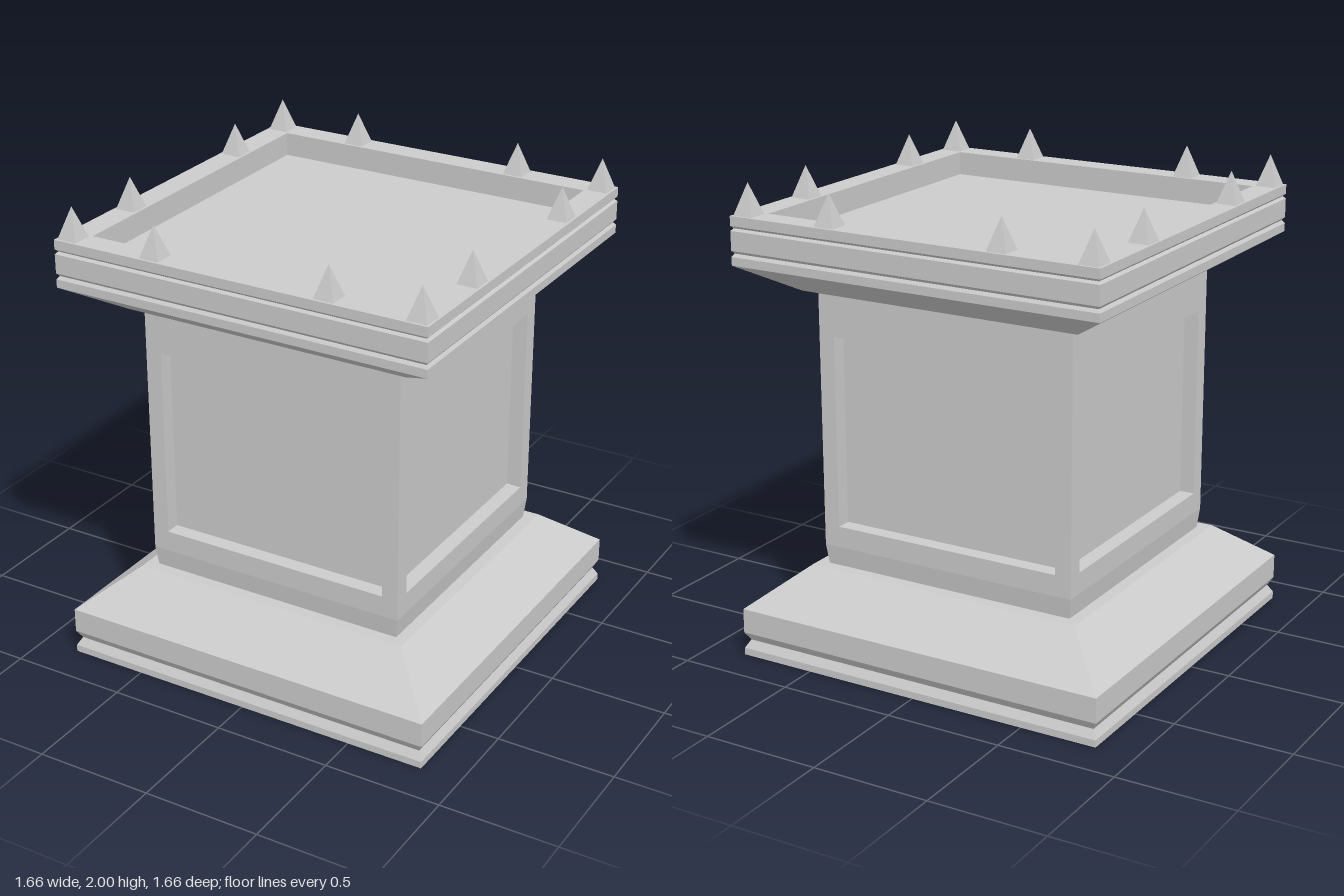
import * as THREE from 'three';

const material = new THREE.MeshStandardMaterial({ color: 0xcccccc, flatShading: true });

function addMesh(parent, name, geometry) {
  const flat = geometry.index ? geometry.toNonIndexed() : geometry;
  flat.computeVertexNormals();
  const mesh = new THREE.Mesh(flat, material);
  mesh.name = name;
  parent.add(mesh);
  return mesh;
}

// Square moulding: sweeps a [half width, height] profile around four sides
function squareLathe(profile) {
  const points = profile.map(([w, y]) => new THREE.Vector2(w * Math.SQRT2, y));
  return new THREE.LatheGeometry(points, 4, Math.PI / 4);
}

// Rectangular slab with a window, its outer face at z = depth
function panelFrame(halfWidth, bottom, top, depth) {
  const rect = (Path, w, y0, y1) => new Path([
    new THREE.Vector2(-w, y0), new THREE.Vector2(w, y0),
    new THREE.Vector2(w, y1), new THREE.Vector2(-w, y1),
  ]);
  const shape = rect(THREE.Shape, halfWidth, bottom, top);
  shape.holes.push(rect(THREE.Path, 0.51, 0.55, 1.365));
  return new THREE.ExtrudeGeometry(shape, { depth, bevelEnabled: false });
}

export function createModel() {
  const model = new THREE.Group();
  model.name = 'pedestal';

  // Stepped plinth with a groove and sloping top
  addMesh(model, 'base', squareLathe([
    [0, 0], [0.83, 0], [0.83, 0.03], [0.81, 0.065], [0.83, 0.1],
    [0.83, 0.205], [0.62, 0.375], [0, 0.375],
  ]));

  // Shaft: tapered foot, core and four recessed panels
  const shaft = new THREE.Group();
  shaft.name = 'shaft';
  model.add(shaft);
  const half = 0.58, depth = 0.065, inner = half - depth;
  addMesh(shaft, 'shaftFoot', squareLathe([[0.57, 0.375], [half, 0.46]]));
  addMesh(shaft, 'shaftCore', new THREE.BoxGeometry(inner * 2, 1.09, inner * 2)).position.y = 1.005;
  for (let i = 0; i < 4; i++) {
    const angle = i * Math.PI / 2;
    const frame = addMesh(shaft, 'panelFrame', panelFrame(i % 2 ? inner : half, 0.46, 1.55, depth));
    frame.rotation.y = angle;
    frame.position.set(Math.sin(angle) * inner, 0, Math.cos(angle) * inner);
  }

  // Flared cap with two grooves and a sunken top
  addMesh(model, 'cap', squareLathe([
    [0, 1.55], [0.625, 1.55], [0.82, 1.67], [0.82, 1.705], [0.81, 1.718], [0.82, 1.73],
    [0.82, 1.81], [0.81, 1.82], [0.82, 1.83], [0.82, 1.87],
    [0.713, 1.87], [0.713, 1.77], [0, 1.77],
  ]));

  // Pyramid spikes around the rim
  const spikes = new THREE.Group();
  spikes.name = 'spikes';
  model.add(spikes);
  const stops = [-0.767, -0.383, 0.383, 0.767];
  for (const x of stops) {
    for (const z of stops) {
      if (Math.max(Math.abs(x), Math.abs(z)) < 0.7) continue;
      const spike = addMesh(spikes, 'spike', squareLathe([[0.043, 0], [0, 0.13]]));
      spike.position.set(x, 1.87, z);
    }
  }
  return model;
}
